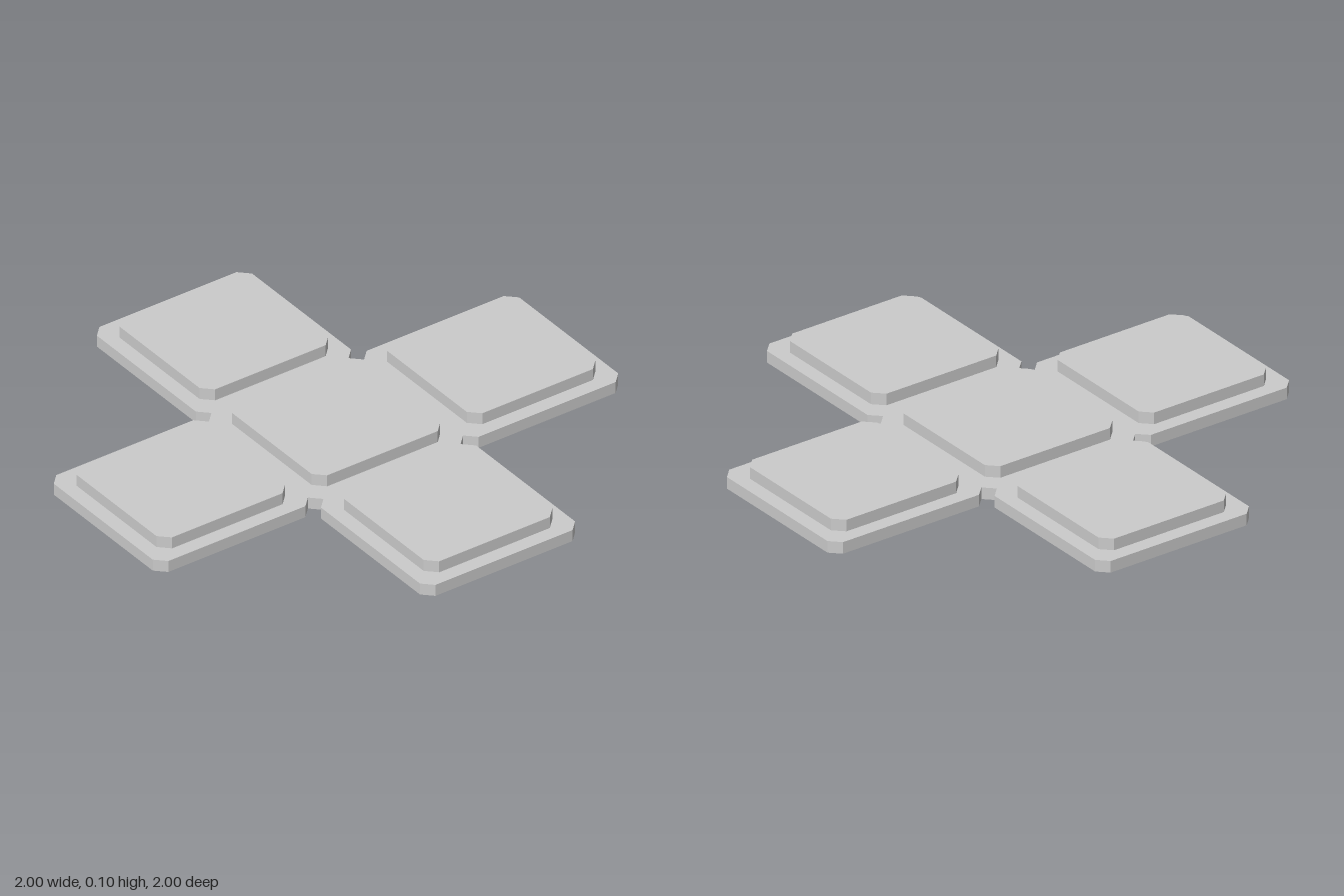
import * as THREE from 'three';

const BASE_H = 0.05, TOP_H = 0.1;
const CENTRE = 0.515;  // offset of the outer tiles along x and z
const HALF = 0.485;    // half diagonal of a base square
const TILE = 0.397;    // half diagonal of a raised tile
const CUT = 0.03;      // half width of a clipped corner

// Repeats one quarter of an outline four times around the origin
function quarterTurns(points) {
  const all = [];
  for (let i = 0; i < 4; i++) {
    for (const [x, y] of points) {
      all.push(new THREE.Vector2(x, y).rotateAround(new THREE.Vector2(), i * Math.PI / 2));
    }
  }
  return new THREE.Shape(all);
}

// Flat slab lying on the ground plane between two heights
function slab(shape, bottom, top) {
  const geometry = new THREE.ExtrudeGeometry(shape, { depth: top - bottom, bevelEnabled: false });
  geometry.rotateX(-Math.PI / 2);
  geometry.translate(0, bottom, 0);
  return geometry;
}

export function createModel() {
  const group = new THREE.Group();
  group.name = 'crossOfTiles';
  const material = new THREE.MeshStandardMaterial({ color: 0xcccccc, flatShading: true });

  const add = (name, geometry, x = 0, z = 0) => {
    const mesh = new THREE.Mesh(geometry, material);
    mesh.name = name;
    mesh.position.set(x, 0, z);
    group.add(mesh);
  };

  // Cross-shaped base: four clipped squares joined in the middle, notched between arms
  const near = CENTRE - CUT, far = CENTRE + CUT, end = CENTRE + HALF, gap = CENTRE - HALF;
  const base = quarterTurns([
    [near, gap], [far, gap], [end, near], [end, far],
    [far, end], [near, end], [gap, far], [gap, near],
  ]);
  add('base', slab(base, 0, BASE_H));

  // Raised tiles: one in the middle and one on each arm
  const tile = slab(quarterTurns([[TILE, -CUT], [TILE, CUT]]), BASE_H, TOP_H);
  add('centreTile', tile);
  for (const x of [-1, 1]) {
    for (const z of [-1, 1]) {
      add(`${z > 0 ? 'front' : 'back'}${x > 0 ? 'Left' : 'Right'}Tile`, tile, x * CENTRE, z * CENTRE);
    }
  }
  return group;
}
